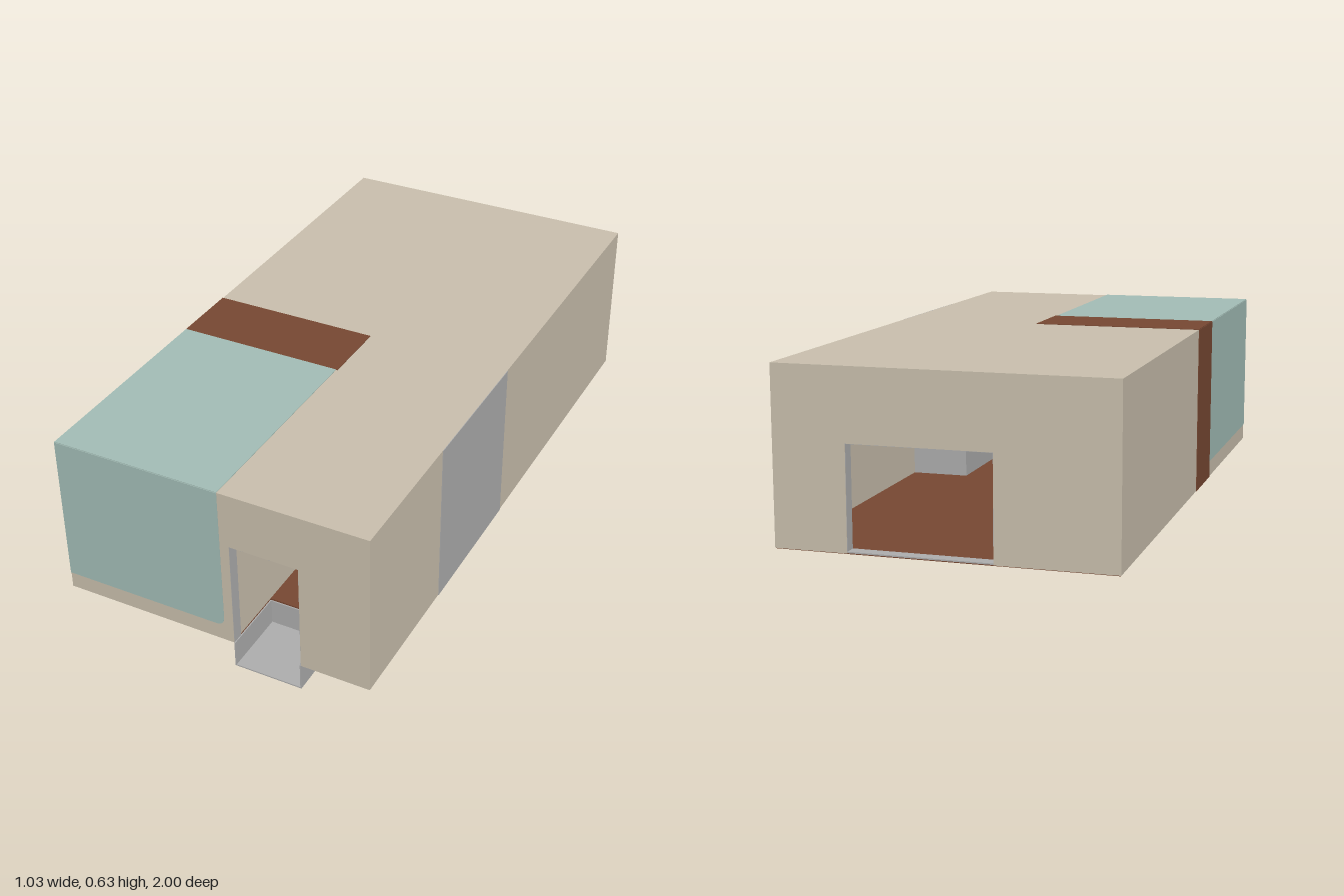
import * as THREE from 'three';

const mat = (name, color) => {
  const m = new THREE.MeshStandardMaterial({ color });
  m.name = name;
  return m;
};

export function createModel() {
  const beige = mat('beige', 0xc9bfad);
  const teal = mat('teal', 0xa3bdb6);
  const grey = mat('grey', 0xadadad);
  const brown = mat('brown', 0x774832);

  const model = new THREE.Group();
  model.name = 'cabin';

  // Box given by its lower and upper limits on each axis
  const box = (name, material, [x0, x1], [y0, y1], [z0, z1], parent = model) => {
    const mesh = new THREE.Mesh(new THREE.BoxGeometry(x1 - x0, y1 - y0, z1 - z0), material);
    mesh.position.set((x0 + x1) / 2, (y0 + y1) / 2, (z0 + z1) / 2);
    mesh.name = name;
    parent.add(mesh);
    return mesh;
  };

  const W = 0.515, Y0 = 0.09, Y1 = 0.632, T = 0.04, P = 0.002;
  const door = { x: [0.065, 0.29], top: 0.45 };
  const hatch = { x: [-0.15, 0.29], top: 0.41 };

  // Roof and long side walls
  box('roof', beige, [-W, W], [Y1 - 0.03, Y1], [-1, 1]);
  for (const s of [-1, 1]) {
    const edges = [s * W, s * (W - 0.03)].sort((a, b) => a - b);
    box(s > 0 ? 'leftWall' : 'rightWall', beige, edges, [Y0, Y1 - 0.03], [-1, 1]);
  }

  // End walls, each with an opening down to the floor and grey reveals
  const endWall = (name, o, z) => {
    const g = new THREE.Group();
    g.name = name;
    model.add(g);
    const [a, b] = o.x, inner = W - 0.03, r = 0.004;
    box(name + 'RightPart', beige, [-inner, a], [Y0, Y1 - 0.03], z, g);
    box(name + 'LeftPart', beige, [b, inner], [Y0, Y1 - 0.03], z, g);
    box(name + 'Lintel', beige, [a, b], [o.top, Y1 - 0.03], z, g);
    const zi = [z[0] + 0.001, z[1] - 0.001];
    box(name + 'RightReveal', grey, [a - r, a + 0.001], [Y0, o.top], zi, g);
    box(name + 'LeftReveal', grey, [b - 0.001, b + r], [Y0, o.top], zi, g);
    box(name + 'TopReveal', grey, [a, b], [o.top - 0.001, o.top + r], zi, g);
  };
  endWall('frontWall', door, [1 - T, 1]);
  endWall('backWall', hatch, [-1, -1 + T]);
  box('backThreshold', grey, hatch.x, [0.091, 0.095], [-0.999, -1 + T]);

  // Floor, cut out around the entrance step
  const floorY = [0.088, 0.093], stepZ = 0.78;
  box('mainFloor', brown, [-W + P, W - P], floorY, [-1 + P, stepZ]);
  box('floorRightOfStep', brown, [-W + P, door.x[0]], floorY, [stepZ, 0.985]);
  box('floorLeftOfStep', brown, [door.x[1], W - P], floorY, [stepZ, 0.985]);
  box('floorSeam', grey, [0.29, W - P], [0.083, 0.089], [0.04, 0.05]);

  // Sunken entrance step, open at the front
  const [d0, d1] = door.x, t = 0.004;
  const step = new THREE.Group();
  step.name = 'entranceStep';
  model.add(step);
  box('tread', grey, [d0, d1], [0, t], [stepZ, 1], step);
  box('riser', grey, [d0, d1], [t, 0.088], [stepZ, stepZ + t], step);
  box('stepRightSide', grey, [d0, d0 + t], [t, Y0], [stepZ + t, 1], step);
  box('stepLeftSide', grey, [d1 - t, d1], [t, Y0], [stepZ + t, 1], step);

  // Inside: washroom partition, cupboard and worktop unit
  box('washroomPartition', beige, [0.035, 0.064], [0.093, 0.602], [0.28, 1 - T]);
  box('cupboard', brown, [-0.485, 0.04], [0.093, 0.602], [0.05, 0.28]);
  box('worktopUnit', grey, [0.294, 0.485], [0.093, 0.32], [0.045, 0.53]);

  // Coloured outer panels
  const tx = 0.035, ty = 0.145, r = 0.03;
  const panel = new THREE.Shape();
  panel.moveTo(-W, ty);
  panel.lineTo(tx - r, ty);
  panel.quadraticCurveTo(tx, ty, tx, ty + r);
  panel.lineTo(tx, Y1);
  panel.lineTo(-W, Y1);
  panel.closePath();
  const front = new THREE.Mesh(
    new THREE.ExtrudeGeometry(panel, { depth: P, bevelEnabled: false }), teal);
  front.position.z = 1;
  front.name = 'tealFrontPanel';
  model.add(front);
  box('tealSidePanel', teal, [-W - P, -W], [ty, Y1], [0.28, 1]);
  box('tealRoofPanel', teal, [-W, tx], [Y1, Y1 + P], [0.28, 1]);
  box('brownSidePanel', brown, [-W - P, -W], [Y0, Y1], [0.05, 0.28]);
  box('brownRoofPanel', brown, [-W, 0.04], [Y1, Y1 + P], [0.05, 0.28]);
  box('greySidePanel', grey, [W, W + P], [Y0, Y1], [0.045, 0.53]);

  return model;
}
